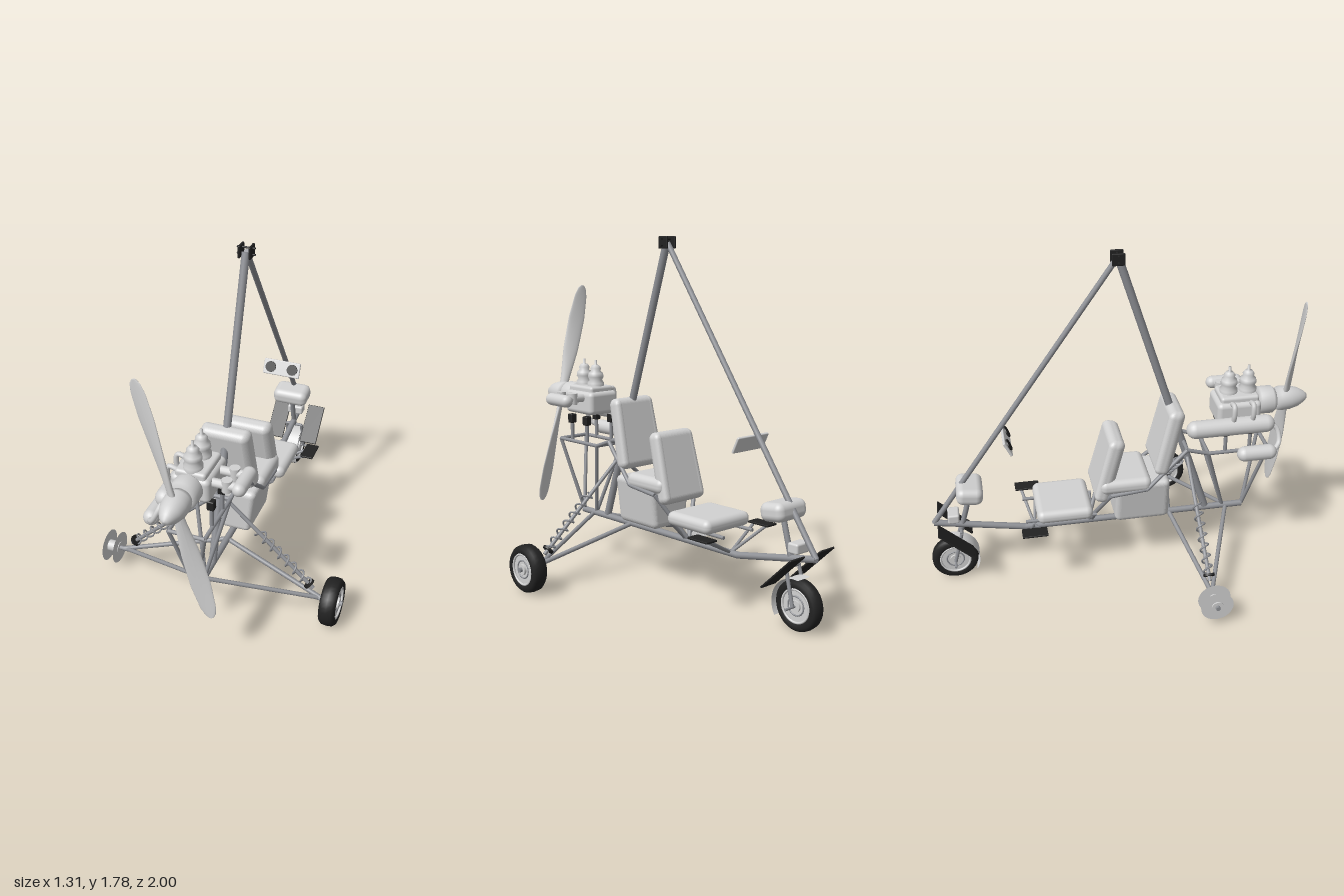
import * as THREE from 'three';
import { RoundedBoxGeometry } from 'three/addons/geometries/RoundedBoxGeometry.js';

const V = (x, y, z) => new THREE.Vector3(x, y, z);
const mat = (name, color) => Object.assign(new THREE.MeshStandardMaterial({ color }), { name });

export function createModel() {
  const root = new THREE.Group();
  root.name = 'poweredTrike';
  const body = mat('light grey', 0xd2d2d2);
  const frame = mat('tube grey', 0x8f9196);
  const black = mat('black', 0x222222);
  const shell = mat('light grey sheet', 0xd2d2d2);
  shell.side = THREE.DoubleSide;

  const add = (name, geo, m, x = 0, y = 0, z = 0, rx = 0, ry = 0, rz = 0) => {
    const mesh = new THREE.Mesh(geo, m);
    mesh.name = name;
    mesh.position.set(x, y, z);
    mesh.rotation.set(rx, ry, rz);
    root.add(mesh);
    return mesh;
  };
  const box = (name, w, h, d, r, m, ...at) => add(name, new RoundedBoxGeometry(w, h, d, 4, r), m, ...at);
  // Straight tube between two points
  const rod = (name, a, b, r, m = frame) => {
    const d = V(...b).sub(V(...a));
    const mesh = add(name, new THREE.CylinderGeometry(r, r, d.length(), 12), m);
    mesh.position.copy(V(...a)).addScaledVector(d, 0.5);
    mesh.quaternion.setFromUnitVectors(V(0, 1, 0), d.normalize());
    return mesh;
  };
  const rods = (name, pts, r) => pts.slice(1).forEach((p, i) => rod(name, pts[i], p, r));
  const bent = (name, pts, r, m = frame) =>
    add(name, new THREE.TubeGeometry(new THREE.CatmullRomCurve3(pts.map(p => V(...p))), 24, r, 10), m);
  const lathe = pts => new THREE.LatheGeometry(pts.map(p => new THREE.Vector2(...p)), 32);
  const H = Math.PI / 2;

  // Keel, mast and front strut
  rods('keel', [[0, 0.272, 0.69], [0, 0.272, -0.5], [0, 0.36, -0.97]], 0.017);
  rod('mast', [0, 0.285, 0.48], [0, 1.75, 0.005], 0.02);
  rod('frontStrut', [0, 1.75, -0.005], [0, 0.36, -0.97], 0.014);
  for (const s of [-1, 1]) box('mastBracket', 0.012, 0.06, 0.062, 0.004, black, s * 0.026, 1.755, 0);
  for (const y of [1.74, 1.772]) rod('bracketBolt', [-0.045, y, 0], [0.045, y, 0], 0.005, black);

  // Paired frame tubes
  for (const s of [-1, 1]) {
    const e = s * 0.09;
    rods('engineBed', [[e, 0.68, 0.78], [e, 0.68, 0.46], [s * 0.1, 0.72, 0.345]], 0.01);
    rod('engineStrut', [e, 0.68, 0.78], [0, 0.275, 0.69], 0.01);
    rod('engineStrut', [e, 0.68, 0.46], [0, 0.275, 0.58], 0.01);
    rods('seatFrame', [[s * 0.1, 0.72, 0.345], [s * 0.14, 0.53, 0.13], [s * 0.14, 0.51, -0.06], [0, 0.275, -0.16]], 0.011);
    rod('frontSeatRail', [s * 0.1, 0.377, -0.13], [s * 0.1, 0.377, -0.5], 0.009);
    rod('frontSeatLeg', [s * 0.1, 0.377, -0.14], [0, 0.275, -0.14], 0.009);

    // Foot rests
    rod('footRestArm', [0, 0.275, -0.45], [s * 0.2, 0.38, -0.42], 0.008);
    rod('footRestArm', [0, 0.275, -0.45], [s * 0.2, 0.38, -0.5], 0.008);
    box('footRest', 0.07, 0.01, 0.13, 0.003, black, s * 0.21, 0.385, -0.465);

    // Tilted foot plates over the nose wheel
    box('nosePlate', 0.1, 0.009, 0.235, 0.003, black, s * 0.105, 0.3, -0.865, 0.76);

    // Rear axle arms
    rod('axleArm', [0, 0.27, 0.28], [s * 0.55, 0.128, 0.39], 0.012);
    rod('axleArm', [0, 0.27, 0.6], [s * 0.53, 0.13, 0.39], 0.011);
    rod('wheelAxle', [s * 0.52, 0.128, 0.39], [s * 0.655, 0.128, 0.39], 0.012);

    // Spring and damper
    const low = V(s * 0.5, 0.18, 0.385), top = V(s * 0.2, 0.455, 0.38);
    rod('damper', low.toArray(), [0, 0.63, 0.37], 0.01);
    const axis = top.clone().sub(low).normalize(), u = V(0, 0, 1);
    const w = axis.clone().cross(u).normalize(), coil = [];
    for (let i = 0; i <= 84; i++) {
      const a = i / 12 * Math.PI * 2;
      coil.push(low.clone().lerp(top, 0.06 + 0.94 * i / 84)
        .addScaledVector(u, 0.023 * Math.cos(a)).addScaledVector(w, 0.023 * Math.sin(a)));
    }
    add('spring', new THREE.TubeGeometry(new THREE.CatmullRomCurve3(coil), 168, 0.005, 6), frame);
    const cup = low.clone().lerp(top, 0.06);
    rod('springCup', cup.toArray(), cup.clone().addScaledVector(axis, 0.012).toArray(), 0.03, black);
  }
  for (const z of [0.46, 0.78]) rod('engineCrossTube', [-0.09, 0.68, z], [0.09, 0.68, z], 0.01);
  rod('seatCrossTube', [-0.1, 0.72, 0.345], [0.1, 0.72, 0.345], 0.01);

  // Wheels
  const wheel = (x, z, w) => {
    const h = w / 2;
    add('tyre', lathe([[0.075, -h * 0.7], [0.085, -h], [0.108, -h], [0.12, -h * 0.65], [0.123, 0],
      [0.12, h * 0.65], [0.108, h], [0.085, h], [0.075, h * 0.7], [0.075, -h * 0.7]]), black, x, 0.127, z, 0, 0, -H);
    add('rim', new THREE.CylinderGeometry(0.078, 0.078, w * 0.75, 32), body, x, 0.127, z, 0, 0, -H);
    for (const s of [-1, 1]) {
      add('rimRing', new THREE.TorusGeometry(0.078, 0.006, 8, 32), body, x + s * h * 0.85, 0.127, z, 0, H, 0);
      add('rimRib', new THREE.TorusGeometry(0.045, 0.004, 8, 24), frame, x + s * w * 0.375, 0.127, z, 0, H, 0);
    }
    add('hub', new THREE.CylinderGeometry(0.028, 0.028, w * 1.02, 20), body, x, 0.127, z, 0, 0, H);
  };
  wheel(0.6, 0.39, 0.08);
  wheel(0, -0.88, 0.066);

  // Bare hub with thin rim discs on the other side
  add('bareHub', new THREE.CylinderGeometry(0.03, 0.03, 0.07, 20), body, -0.607, 0.128, 0.39, 0, 0, H);
  for (const x of [-0.635, -0.575]) add('rimDisc', new THREE.CircleGeometry(0.084, 32), shell, x, 0.128, 0.39, 0, H, 0);

  // Nose fork, mudguard and bracket
  for (const s of [-1, 1]) {
    rod('forkLeg', [s * 0.045, 0.3, -0.835], [s * 0.05, 0.127, -0.88], 0.009);
    rod('forkCrown', [0, 0.3, -0.835], [s * 0.045, 0.3, -0.835], 0.009);
  }
  rod('steeringStem', [0, 0.5, -0.78], [0, 0.3, -0.835], 0.014);
  rod('noseAxle', [-0.1, 0.127, -0.88], [0.1, 0.127, -0.88], 0.006);
  add('mudguard', new THREE.CylinderGeometry(0.129, 0.129, 0.088, 24, 1, true, -0.55, 2.3), shell, 0, 0.127, -0.88, 0, 0, H);
  box('noseBox', 0.09, 0.05, 0.06, 0.01, body, 0, 0.395, -0.868);

  // Instrument pod and gauge panel
  box('instrumentPod', 0.2, 0.09, 0.135, 0.035, body, 0, 0.55, -0.775, 0.12);
  box('gaugePanel', 0.21, 0.085, 0.014, 0.005, body, 0, 0.83, -0.568, -0.45);
  for (const s of [-1, 1])
    add('gauge', new THREE.CylinderGeometry(0.03, 0.03, 0.008, 24), black, s * 0.062, 0.8343, -0.559, H - 0.45);

  // Seats, with the backs cupped around the rider
  const seatBack = (name, h, ...at) => {
    const g = new RoundedBoxGeometry(0.28, h, 0.085, 6, 0.035), p = g.attributes.position;
    for (let i = 0; i < p.count; i++) {
      const x = p.getX(i) * (1 - 0.1 * (p.getY(i) / h + 0.5));
      p.setX(i, x);
      p.setZ(i, p.getZ(i) - 1.2 * x * x + 0.012);
    }
    g.computeVertexNormals();
    add(name, g, body, ...at);
  };
  seatBack('rearSeatBack', 0.37, 0, 0.775, 0.25, 0.22);
  seatBack('frontSeatBack', 0.365, 0, 0.64, -0.06, 0.25);
  box('rearSeatCushion', 0.3, 0.08, 0.27, 0.035, body, 0, 0.555, 0.02);
  box('frontSeatCushion', 0.31, 0.072, 0.29, 0.033, body, 0, 0.415, -0.298);

  // Fuel tank, narrower at the bottom
  const tank = new RoundedBoxGeometry(0.29, 0.25, 0.285, 4, 0.03), tp = tank.attributes.position;
  for (let i = 0; i < tp.count; i++) tp.setX(i, tp.getX(i) * (0.86 + 0.9 * tp.getY(i)));
  tank.computeVertexNormals();
  add('fuelTank', tank, body, 0, 0.44, 0.112);

  // Engine block and gearbox
  box('crankcase', 0.19, 0.125, 0.23, 0.025, body, 0, 0.9, 0.615);
  box('cylinderBase', 0.15, 0.05, 0.2, 0.015, body, 0, 0.965, 0.62);
  add('gearbox', lathe([[0, -0.05], [0.06, -0.05], [0.072, -0.035], [0.072, 0.03], [0.055, 0.05], [0, 0.05]]),
    body, 0, 0.92, 0.775, H);
  for (const z of [0.575, 0.675]) {
    add('cylinderHead', lathe([[0.045, 0], [0.046, 0.025], [0.034, 0.04], [0.043, 0.058], [0.04, 0.078],
      [0.026, 0.09], [0.03, 0.105], [0.02, 0.12], [0.007, 0.125], [0.007, 0.15], [0, 0.15]]), body, 0, 0.98, z);
    // Carburettors and exhaust stubs
    rod('carburettor', [0.08, 0.93, z], [0.2, 0.93, z], 0.022, body);
    add('carburettorBowl', new THREE.CylinderGeometry(0.025, 0.025, 0.06, 16), body, 0.16, 0.93, z);
    bent('exhaustStub', [[-0.06, 0.95, z], [-0.12, 0.965, z], [-0.13, 0.92, z], [-0.11, 0.85, z]], 0.013, body);
  }
  add('airFilter', new THREE.CapsuleGeometry(0.033, 0.13, 6, 20), body, 0.22, 0.925, 0.615, H);
  for (const s of [-1, 1]) for (const z of [0.55, 0.68]) {
    box('rubberMount', 0.036, 0.05, 0.036, 0.006, black, s * 0.085, 0.805, z);
    rod('mountPost', [s * 0.085, 0.68, z], [s * 0.085, 0.79, z], 0.01);
  }

  // Exhaust
  add('muffler', new THREE.CapsuleGeometry(0.046, 0.37, 8, 20), body, -0.11, 0.845, 0.565, H);
  add('silencer', new THREE.CapsuleGeometry(0.039, 0.13, 8, 20), body, -0.183, 0.718, 0.69, H);
  bent('exhaustPipe', [[-0.11, 0.84, 0.78], [-0.12, 0.81, 0.81], [-0.15, 0.75, 0.815], [-0.183, 0.718, 0.78]], 0.013, body);

  // Spinner and twisted propeller blades
  add('spinner', lathe([[0, -0.09], [0.055, -0.09], [0.064, -0.06], [0.062, -0.01], [0.05, 0.035],
    [0.03, 0.07], [0.015, 0.086], [0, 0.09]]), body, 0, 0.92, 0.91, H);
  const stations = [[0, 0.022], [0.15, 0.026], [0.4, 0.042], [0.7, 0.047], [0.9, 0.038], [0.97, 0.026], [1.01, 0.006]];
  const halfChord = t => {
    const i = Math.max(1, stations.findIndex(s => s[0] >= t));
    const [a, b] = [stations[i - 1], stations[i]];
    return THREE.MathUtils.lerp(a[1], b[1], (t - a[0]) / (b[0] - a[0]));
  };
  for (const turn of [0.255, 0.255 + Math.PI]) {
    const g = new THREE.CylinderGeometry(1, 1, 1, 20, 32), p = g.attributes.position;
    for (let i = 0; i < p.count; i++) {
      const t = p.getY(i) + 0.5, c = halfChord(t), a = 0.7 * (1 - t) + 0.1;
      const x = p.getX(i) * c, z = p.getZ(i) * (0.016 - 0.012 * t);
      p.setXYZ(i, x * Math.cos(a) - z * Math.sin(a), t * 0.625, x * Math.sin(a) + z * Math.cos(a));
    }
    g.computeVertexNormals();
    add('propellerBlade', g, body, 0, 0.92, 0.882, 0, 0, turn);
  }
  return root;
}
